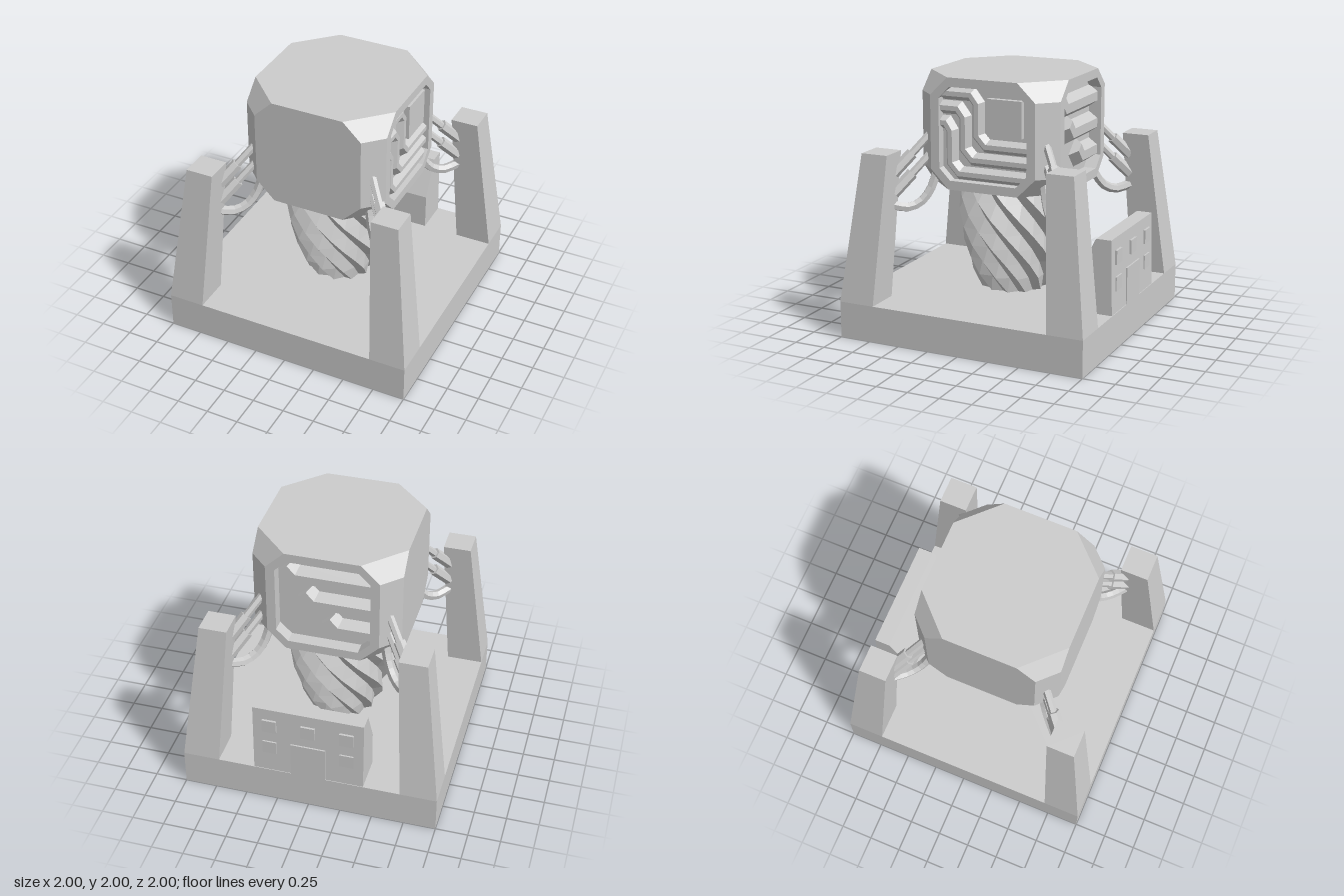
import * as THREE from 'three';

const material = new THREE.MeshStandardMaterial({ color: 0xcccccc, flatShading: true });
const FLOOR = 0.285; // top of the base slab
const V = (x, y, z) => new THREE.Vector3(x, y, z);

function add(parent, name, geometry, x = 0, y = 0, z = 0) {
  const mesh = new THREE.Mesh(geometry, material);
  mesh.name = name;
  mesh.position.set(x, y, z);
  parent.add(mesh);
  return mesh;
}

// Skin closed rings of points; rings run counter-clockwise seen from the last one.
function loft(rings, { caps = true, skip = [] } = {}) {
  const n = rings[0].length, index = [];
  for (let i = 0; i < rings.length - 1; i++) {
    for (let j = 0; j < n; j++) {
      if (skip.includes(j)) continue;
      const a = i * n + j, b = i * n + (j + 1) % n;
      index.push(a, b, b + n, a, b + n, a + n);
    }
  }
  const last = (rings.length - 1) * n;
  for (let j = 1; caps && j < n - 1; j++) {
    index.push(0, j + 1, j, last, last + j, last + j + 1);
  }
  const geometry = new THREE.BufferGeometry().setFromPoints(rings.flat());
  geometry.setIndex(index);
  geometry.computeVertexNormals();
  return geometry;
}

// Raised bevelled ridge along a flat path, mitred at the bends.
function ridge(path, z, base, top, height) {
  const pts = path.map(p => new THREE.Vector2(...p));
  const rings = pts.map((p, i) => {
    const before = p.clone().sub(pts[Math.max(i - 1, 0)]).normalize();
    const after = pts[Math.min(i + 1, pts.length - 1)].clone().sub(p).normalize();
    const t = before.clone().add(after).normalize();
    const miter = 1 / t.dot(i ? before : after);
    const at = (s, h) => V(p.x - t.y * s * miter, p.y + t.x * s * miter, z + h);
    return [at(base, 0), at(top, height), at(-top, height), at(-base, 0)];
  });
  return loft(rings);
}

// Octagon outline: half width, height range and corner cut.
const octagon = (h, y0, y1, c) => [
  [h, y0 + c], [h, y1 - c], [h - c, y1], [c - h, y1],
  [-h, y1 - c], [-h, y0 + c], [c - h, y0], [h - c, y0],
].map(p => new THREE.Vector2(...p));

// Recessed side panel: frame and floor, facing local +z.
function recess(name, depth) {
  const panel = new THREE.Group();
  panel.name = name;
  const shape = new THREE.Shape([
    [0.43, 1.29], [0.43, 1.86], [0.285, 2], [-0.285, 2],
    [-0.43, 1.86], [-0.43, 1.29], [-0.285, 1.145], [0.285, 1.145],
  ].map(p => new THREE.Vector2(...p)));
  const opening = octagon(0.36, 1.215, 1.93, 0.09);
  shape.holes.push(new THREE.Path(opening));
  add(panel, 'panelFrame', new THREE.ExtrudeGeometry(shape, { depth, bevelEnabled: false }), 0, 0, -depth);
  add(panel, 'panelFloor', new THREE.ShapeGeometry(new THREE.Shape(opening)), 0, 0, -depth);
  return panel;
}

function buildHead() {
  const head = new THREE.Group();
  head.name = 'head';
  const h = 0.57;
  const ring = (y, k) => [
    [h, k], [h, -k], [k, -h], [-k, -h], [-h, -k], [-h, k], [-k, h], [k, h],
  ].map(([x, z]) => V(x, y, z));
  add(head, 'headShell', loft(
    [ring(1.145, 0.285), ring(1.29, 0.43), ring(1.86, 0.43), ring(2, 0.285)],
    { skip: [0, 2] }));

  // Side panel with three nested stepped ridges and a square plate
  const side = recess('sidePanel', 0.07);
  side.rotation.y = Math.PI / 2;
  side.position.x = h;
  [
    [[-0.35, 1.875], [-0.11, 1.875], [-0.06, 1.81], [-0.06, 1.57], [0.01, 1.495], [0.36, 1.495]],
    [[-0.36, 1.765], [-0.22, 1.765], [-0.17, 1.7], [-0.17, 1.46], [-0.1, 1.385], [0.36, 1.385]],
    [[-0.36, 1.65], [-0.32, 1.65], [-0.28, 1.59], [-0.28, 1.345], [-0.21, 1.27], [0.36, 1.27]],
  ].forEach(path => add(side, 'steppedRidge', ridge(path, -0.07, 0.052, 0.018, 0.05)));
  add(side, 'squarePlate', new THREE.BoxGeometry(0.28, 0.28, 0.05), 0.17, 1.72, -0.05);
  head.add(side);

  // Back panel with three thick bars of decreasing length
  const back = recess('backPanel', 0.1);
  back.rotation.y = Math.PI;
  back.position.z = -h;
  [[-0.3, 1.77], [-0.16, 1.56], [0.02, 1.35]].forEach(([x, y]) =>
    add(back, 'backBar', ridge([[x, y + 0.08], [x + 0.07, y], [0.36, y]], -0.1, 0.085, 0.035, 0.07)));
  head.add(back);
  return head;
}

// Twisted, fluted column widening upwards
function buildNeck() {
  const ribs = 12, steps = 7;
  const radii = [0.27, 0.33, 0.365, 0.4, 0.42, 0.435, 0.435, 0.42];
  const rings = radii.map((radius, i) => Array.from({ length: ribs * 2 }, (_, j) => {
    const t = i / steps;
    const r = radius * (j % 2 ? 0.86 : 1);
    const a = (j + (j % 2 ? 0.25 : 0)) * Math.PI / ribs + (1 - t) * 1.8;
    return V(r * Math.sin(a), FLOOR + t * 0.862, r * Math.cos(a));
  }));
  return loft(rings, { caps: false });
}

// Straight hexagonal rod between two points
function rod(parent, name, from, to, radius) {
  const dir = to.clone().sub(from);
  const mesh = add(parent, name, new THREE.CylinderGeometry(radius, radius, dir.length(), 6));
  mesh.position.copy(from).add(to).multiplyScalar(0.5);
  mesh.quaternion.setFromUnitVectors(V(0, 1, 0), dir.normalize());
}

// Corner post with two pistons and a hanging cable
function buildCorner(sx, sz) {
  const corner = new THREE.Group();
  corner.name = 'corner';
  const ring = (y, near, far) => {
    const [x0, x1] = [sx * near, sx * far].sort((a, b) => a - b);
    const [z0, z1] = [sz * near, sz * far].sort((a, b) => a - b);
    return [V(x1, y, z1), V(x1, y, z0), V(x0, y, z0), V(x0, y, z1)];
  };
  add(corner, 'post', loft([ring(FLOOR, 0.715, 1), ring(1.43, 0.645, 0.86)]));
  const at = (d, y) => V(sx * d, y, sz * d);
  for (const y of [1.545, 1.39]) {
    rod(corner, 'pistonRod', at(0.48, y), at(0.63, y - 0.21), 0.03);
    rod(corner, 'pistonSleeve', at(0.585, y - 0.145), at(0.69, y - 0.29), 0.046);
  }
  const curve = new THREE.CatmullRomCurve3(
    [at(0.45, 1.24), at(0.48, 1.12), at(0.535, 1.02), at(0.61, 0.98), at(0.7, 1.01)]);
  add(corner, 'cable', new THREE.TubeGeometry(curve, 8, 0.037, 6));
  return corner;
}

// Small block at the back edge with windows and a door
function buildBackBlock() {
  const block = new THREE.Group();
  block.name = 'backBlock';
  const profile = new THREE.Shape([
    [0.715, FLOOR], [0.995, FLOOR], [0.98, 0.865], [0.86, 0.865], [0.715, 0.575],
  ].map(p => new THREE.Vector2(...p)));
  const body = add(block, 'blockBody',
    new THREE.ExtrudeGeometry(profile, { depth: 0.86, bevelEnabled: false }), -0.43, 0, 0);
  body.rotation.y = Math.PI / 2; // profile x runs towards -z
  for (const [x, y] of [[-0.3, 0.715], [0, 0.715], [0.3, 0.715], [-0.3, 0.51], [0.3, 0.51]]) {
    add(block, 'window', new THREE.BoxGeometry(0.11, 0.11, 0.03), x, y, -0.985);
  }
  add(block, 'door', new THREE.BoxGeometry(0.27, 0.29, 0.02), 0, FLOOR + 0.145, -0.99);
  return block;
}

export function createModel() {
  const model = new THREE.Group();
  model.name = 'model';
  add(model, 'base', new THREE.BoxGeometry(2, FLOOR, 2), 0, FLOOR / 2, 0);
  add(model, 'neck', buildNeck());
  model.add(buildHead(), buildBackBlock());
  for (const sx of [-1, 1]) for (const sz of [-1, 1]) model.add(buildCorner(sx, sz));
  return model;
}
